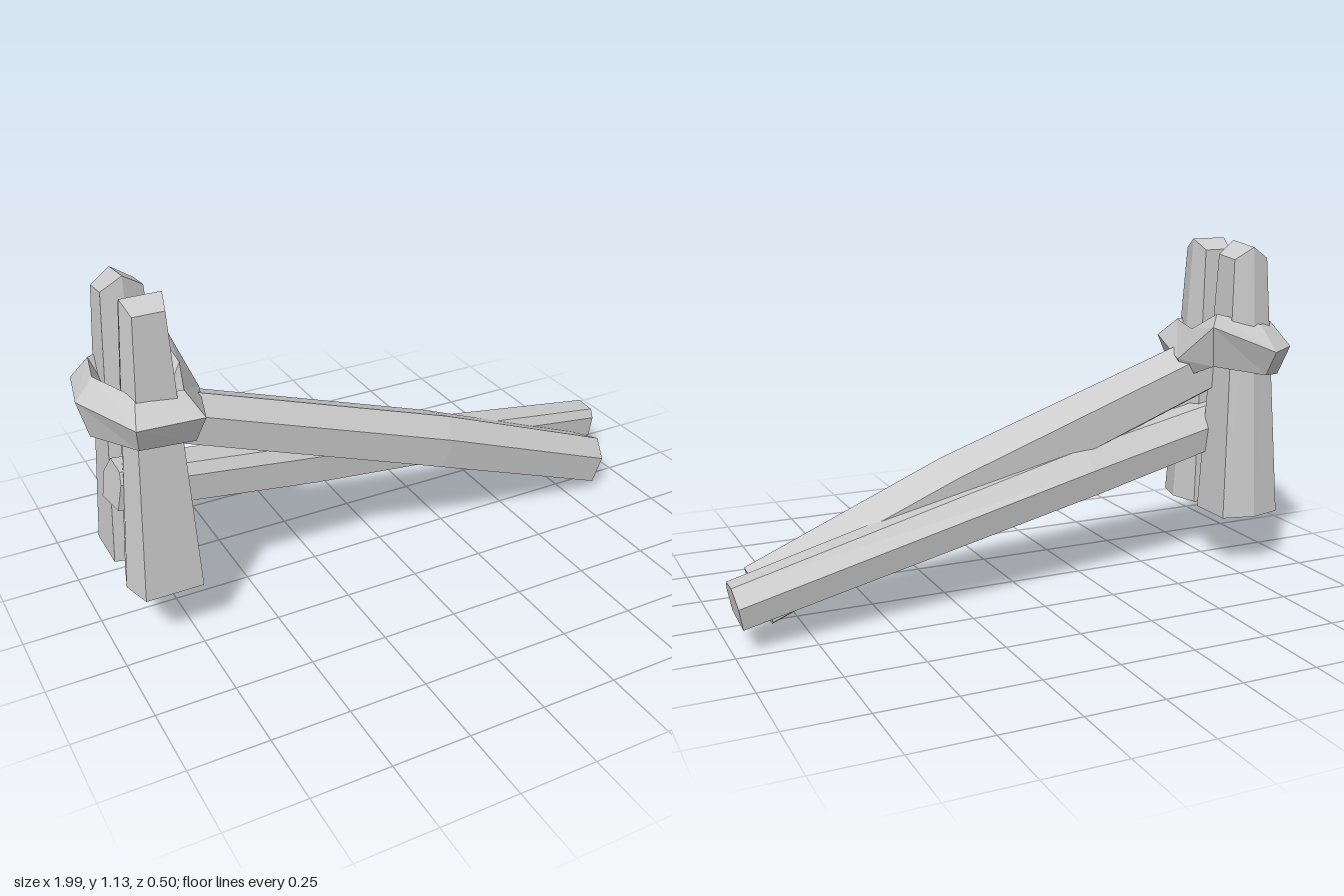
import * as THREE from 'three';

const material = new THREE.MeshStandardMaterial({ color: 0xcccccc, flatShading: true });

// Skin a list of cross-sections (arrays of [x, y, z]); closed loops join last to first
function loft(name, rings, closed = false) {
  const pos = [];
  const tri = (a, b, c) => pos.push(...a, ...b, ...c);
  const n = rings[0].length;
  const spans = closed ? rings.length : rings.length - 1;
  for (let i = 0; i < spans; i++) {
    const r = rings[i], s = rings[(i + 1) % rings.length];
    for (let j = 0; j < n; j++) {
      const k = (j + 1) % n;
      tri(r[j], r[k], s[k]);
      tri(r[j], s[k], s[j]);
    }
  }
  if (!closed) {
    const first = rings[0], last = rings[rings.length - 1];
    for (let j = 1; j < n - 1; j++) {
      tri(first[0], first[j + 1], first[j]);
      tri(last[0], last[j], last[j + 1]);
    }
  }
  const geometry = new THREE.BufferGeometry();
  geometry.setAttribute('position', new THREE.Float32BufferAttribute(pos, 3));
  geometry.computeVertexNormals();
  const mesh = new THREE.Mesh(geometry, material);
  mesh.name = name;
  return mesh;
}

// Tapered six-sided post; profile in unit (z, x), base and top as {x, z, rx, rz}
function post(name, profile, base, top, topY) {
  const ring = (s, y) => profile.map(([z, x]) => [s.x + x * s.rx, y(z, x), s.z + z * s.rz]);
  return loft(name, [ring(base, () => 0.195), ring(top, topY)]);
}

// Rough rail; profile in (z, up), stations as [x, y, z, scale], cut square to its slope
function rail(name, profile, stations) {
  const a = stations[0], b = stations[stations.length - 1];
  const len = Math.hypot(b[0] - a[0], b[1] - a[1]);
  const ux = (a[1] - b[1]) / len, uy = (b[0] - a[0]) / len;
  return loft(name, stations.map(([x, y, z, s]) =>
    profile.map(([w, u]) => [x + ux * u * s, y + uy * u * s, z + w * s])));
}

export function createModel() {
  const group = new THREE.Group();
  group.name = 'brokenFence';

  // Pair of upright posts with ridged tops
  group.add(post('frontPost',
    [[0, 1], [-1, 0.77], [-1, -0.77], [0, -1], [1, -0.77], [1, 0.77]],
    { x: -0.82, z: 0.12, rx: 0.12, rz: 0.1 },
    { x: -0.812, z: 0.112, rx: 0.063, rz: 0.06 },
    (z) => 1.13 - 0.035 * Math.abs(z)));
  group.add(post('backPost',
    [[1, 0], [0.75, 1], [-0.75, 1], [-1, 0], [-0.75, -1], [0.75, -1]],
    { x: -0.82, z: -0.11, rx: 0.11, rz: 0.11 },
    { x: -0.815, z: -0.098, rx: 0.065, rz: 0.063 },
    (z, x) => 1.128 - 0.042 * Math.abs(x) + 0.007 * z));

  // Two fallen rails resting between the posts
  group.add(rail('upperRail',
    [[0.095, 0.035], [0.09, -0.06], [-0.03, -0.095], [-0.09, -0.065], [-0.09, 0.055], [0.035, 0.09]],
    [[-0.86, 0.745, 0.022, 0.95], [0.2, 0.365, 0.02, 1.08], [0.87, 0.098, 0, 1]]));
  group.add(rail('lowerRail',
    [[0.07, -0.043], [-0.055, -0.063], [-0.065, 0.007], [-0.025, 0.062], [0.05, 0.058], [0.07, 0.03]],
    [[-0.93, 0.515, 0.035, 1.15], [-0.25, 0.39, -0.035, 1.27], [0.982, 0.148, -0.18, 1]]));

  // Binding around both posts: outer ridge x, y, z, then top and bottom heights
  const stations = [
    [-0.9, 0.785, 0.245, 0.855, 0.7],
    [-0.69, 0.775, 0.24, 0.84, 0.685],
    [-0.61, 0.735, -0.03, 0.835, 0.67],
    [-0.645, 0.865, -0.19, 0.9, 0.725],
    [-0.86, 0.775, -0.25, 0.86, 0.69],
    [-0.96, 0.78, -0.19, 0.86, 0.68],
    [-1, 0.79, 0, 0.86, 0.67],
  ];
  const cx = -0.81;
  group.add(loft('binding', stations.map(([x, y, z, top, bottom]) => {
    const inset = (t, h) => [x + (cx - x) * t, h, z * (1 - t)];
    return [inset(0.3, top), inset(0, y), inset(0.17, bottom), inset(0.52, (top + bottom) / 2)];
  }), true));

  return group;
}
